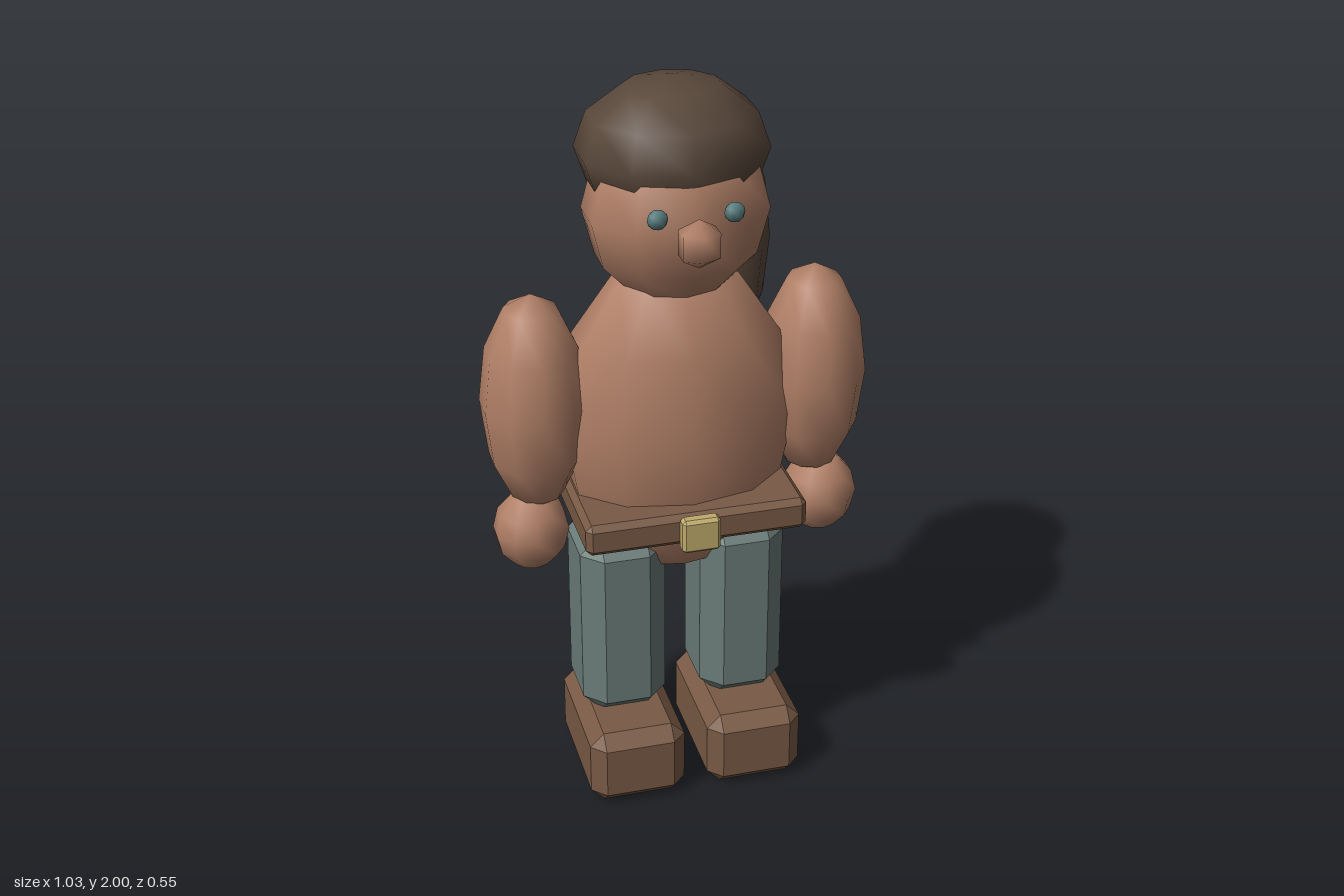
import * as THREE from 'three';
import { ConvexGeometry } from 'three/addons/geometries/ConvexGeometry.js';

const mat = (name, color) => {
  const m = new THREE.MeshStandardMaterial({ color });
  m.name = name;
  return m;
};

export function createModel() {
  const group = new THREE.Group();
  const skin = mat('skin', 0xb07f66);
  const hair = mat('dark brown hair', 0x58473a);
  const cloth = mat('grey green cloth', 0x697b76);
  const leather = mat('brown leather', 0x785944);
  const brass = mat('brass', 0xbfaa6c);
  const eyeColor = mat('teal eye', 0x567a7c);

  const add = (name, geometry, material, [x, y, z]) => {
    const mesh = new THREE.Mesh(geometry, material);
    mesh.name = name;
    mesh.position.set(x, y, z);
    group.add(mesh);
    return mesh;
  };

  // Low-poly smooth ellipsoid with a vertex column on its front and back
  const ellipsoid = (name, material, pos, radii, seg = 10, rings = 6) =>
    add(name, new THREE.SphereGeometry(1, seg, rings).rotateY(Math.PI / 2).scale(...radii), material, pos);

  // Box with chamfered edges and triangular corners, given by its min and max
  const chamferBox = (name, material, min, max, b) => {
    const half = min.map((v, i) => (max[i] - v) / 2);
    const centre = min.map((v, i) => (max[i] + v) / 2);
    const points = [];
    for (const sx of [-1, 1]) for (const sy of [-1, 1]) for (const sz of [-1, 1])
      for (let face = 0; face < 3; face++) {
        const c = half.map((h, i) => (i === face ? h : h - b));
        points.push(new THREE.Vector3(sx * c[0], sy * c[1], sz * c[2]));
      }
    return add(name, new ConvexGeometry(points), material, centre);
  };

  // Body and head
  ellipsoid('torso', skin, [0, 1.07, -0.005], [0.328, 0.475, 0.21]);
  ellipsoid('head', skin, [0, 1.66, 0], [0.245, 0.25, 0.2]);
  ellipsoid('nose', skin, [0, 1.652, 0.225], [0.064, 0.065, 0.058], 6, 3);

  // Hair cap and the tail hanging behind the left side
  ellipsoid('hairCap', hair, [0, 1.81, -0.035], [0.253, 0.19, 0.22]);
  ellipsoid('ponytail', hair, [0.175, 1.51, -0.14], [0.114, 0.32, 0.135]);

  // Paired parts
  for (const s of [-1, 1]) {
    const side = s > 0 ? 'left' : 'right';
    const box = (name, material, [x0, y0, z0], [x1, y1, z1], b) =>
      chamferBox(name, material, [Math.min(s * x0, s * x1), y0, z0], [Math.max(s * x0, s * x1), y1, z1], b);
    ellipsoid(side + 'Eye', eyeColor, [s * 0.098, 1.714, 0.196], [0.027, 0.026, 0.021], 8, 6);
    ellipsoid(side + 'Arm', skin, [s * 0.381, 1.152, -0.009], [0.143, 0.308, 0.156]);
    ellipsoid(side + 'Hand', skin, [s * 0.404, 0.788, 0.015], [0.103, 0.115, 0.1]);
    box(side + 'Leg', cloth, [0.05, 0.2, -0.138], [0.285, 0.767, 0.128], 0.055);
    box(side + 'Boot', leather, [0.033, 0, -0.156], [0.3, 0.222, 0.255], 0.038);
  }

  // Belt and buckle
  chamferBox('belt', leather, [-0.3, 0.8, -0.175], [0.3, 0.89, 0.235], 0.016);
  chamferBox('buckle', brass, [-0.052, 0.795, 0.232], [0.052, 0.892, 0.272], 0.009);

  return group;
}
